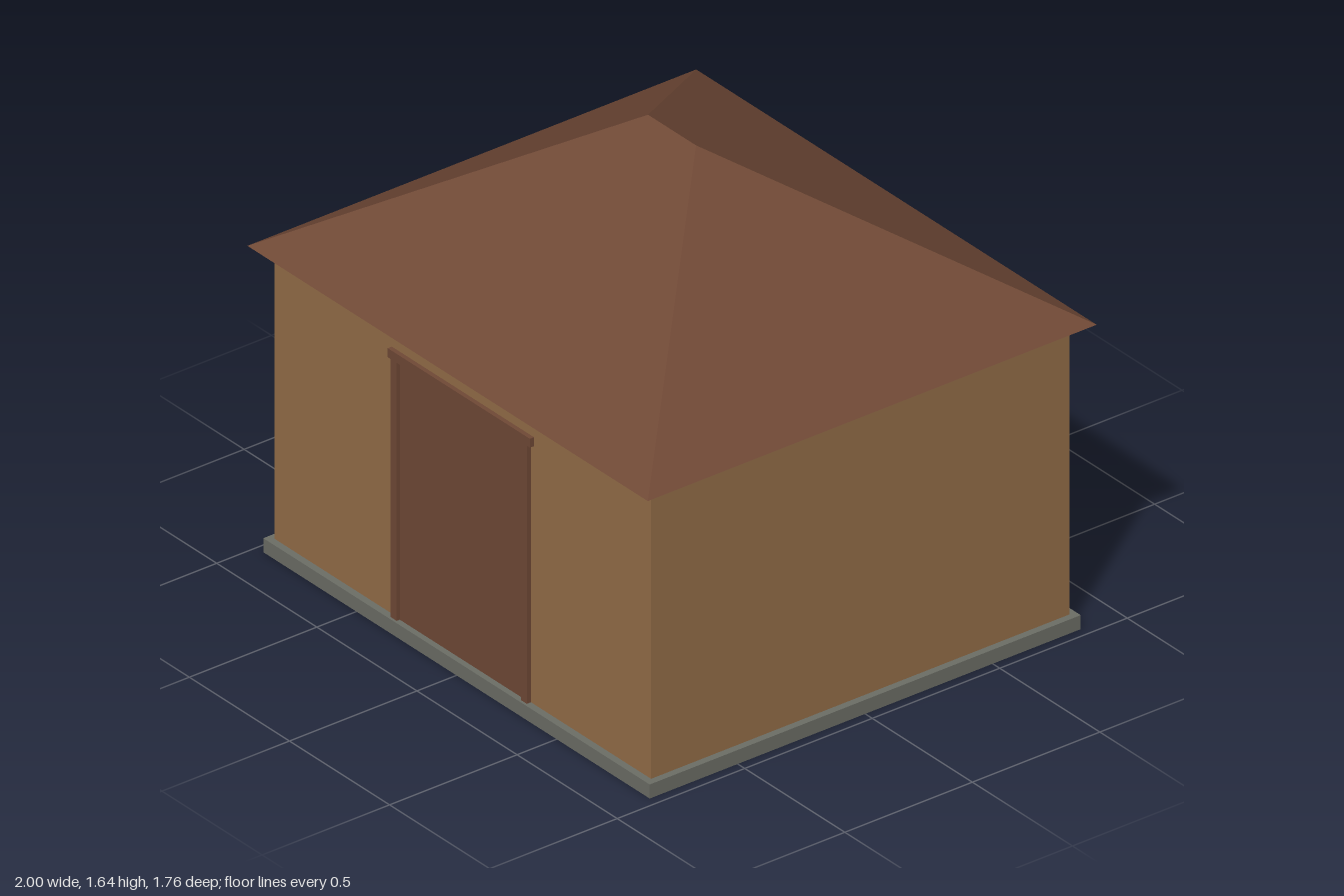
import * as THREE from 'three';

const flat = (name, color) => {
  const material = new THREE.MeshStandardMaterial({ name, color });
  material.side = THREE.DoubleSide;
  return material;
};
const wood = flat('brownWood', 0x704936);
const plaster = flat('tanPlaster', 0x946e48);
const stone = flat('greyStone', 0x6c6e66);

// Faces of a box in the order they are stored
const FACES = ['right', 'left', 'top', 'bottom', 'front', 'back'];

// Box geometry with some faces left open
function openBox(w, h, d, open) {
  const geo = new THREE.BoxGeometry(w, h, d);
  const index = Array.from(geo.index.array);
  geo.setIndex(index.filter((v, i) => !open.includes(FACES[Math.floor(i / 6)])));
  geo.clearGroups();
  return geo;
}

// Box standing on height y, centred on x and z
function block(name, material, [w, h, d], [x, y, z], open = []) {
  const mesh = new THREE.Mesh(openBox(w, h, d, open), material);
  mesh.name = name;
  mesh.position.set(x, y + h / 2, z);
  return mesh;
}

// Hipped roof shell: an open box whose top is pinched into a short ridge along x
function hippedRoof(w, h, d, ridge) {
  const geo = openBox(w, h, d, ['top', 'bottom']);
  const pos = geo.attributes.position;
  for (let i = 0; i < pos.count; i++) {
    if (pos.getY(i) > 0) pos.setXYZ(i, Math.sign(pos.getX(i)) * ridge / 2, h / 2, 0);
  }
  geo.computeVertexNormals();
  return geo;
}

export function createModel() {
  const house = new THREE.Group();
  house.name = 'house';

  // Foundation slab, hollow underneath, and walls open to the roof
  house.add(block('foundation', stone, [1.93, 0.05, 1.69], [0, 0, 0], ['bottom']));
  house.add(block('walls', plaster, [1.88, 1.04, 1.64], [0, 0.05, 0], ['top', 'bottom']));

  // Roof with overhanging eaves
  const roof = new THREE.Mesh(hippedRoof(2, 0.553, 1.76, 0.24), wood);
  roof.name = 'roof';
  roof.position.y = 1.088 + 0.553 / 2;
  house.add(roof);

  // Door with posts and lintel
  const door = new THREE.Group();
  door.name = 'door';
  door.add(block('doorPanel', wood, [0.62, 0.92, 0.004], [0, 0.05, 0.822], ['back']));
  for (const side of [-1, 1]) {
    door.add(block('doorPost', wood, [0.03, 0.92, 0.016], [side * 0.325, 0.05, 0.828], ['back']));
  }
  door.add(block('lintel', wood, [0.71, 0.032, 0.016], [0, 0.969, 0.828], ['back']));
  house.add(door);

  return house;
}
